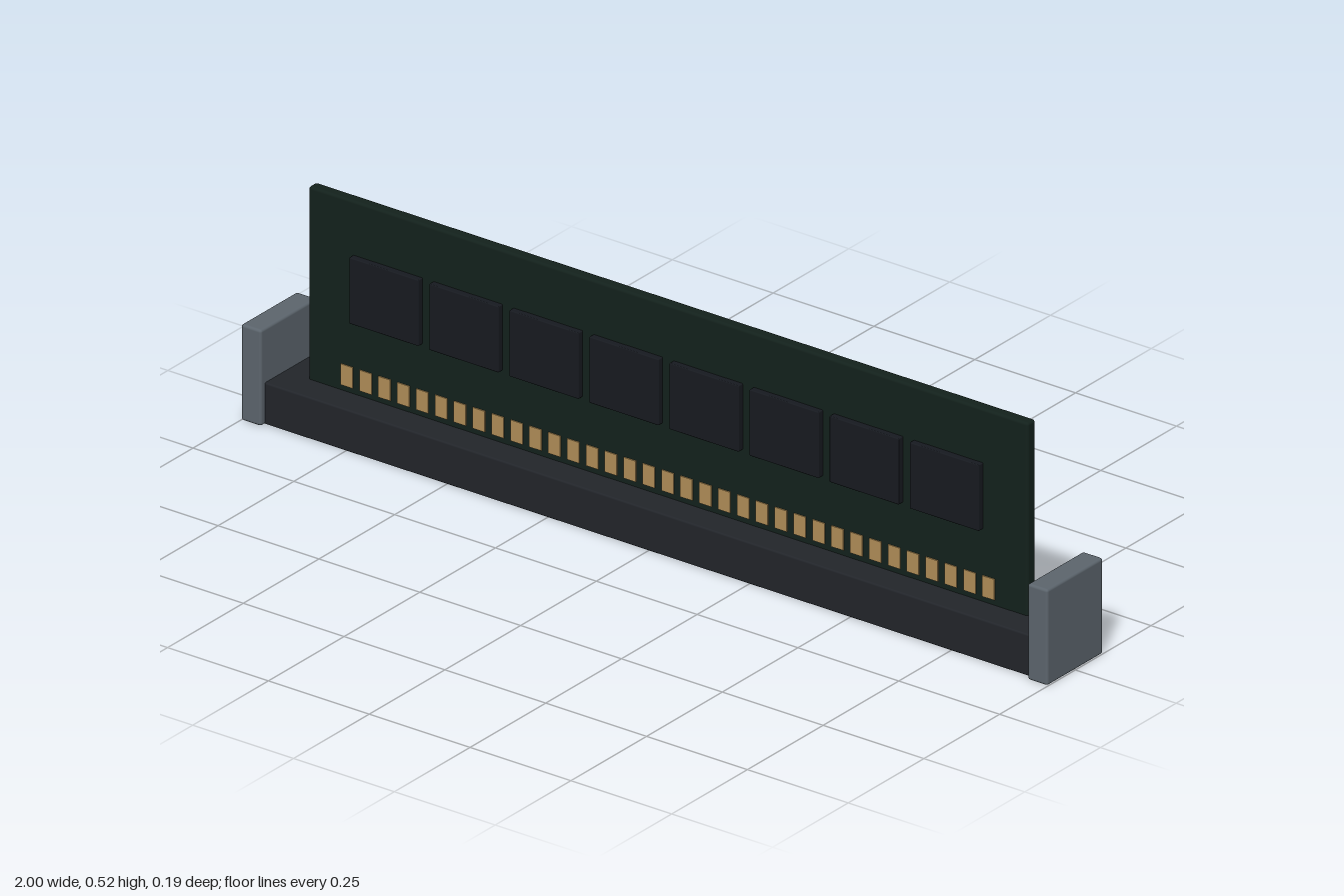
import * as THREE from 'three';
import { RoundedBoxGeometry } from 'three/addons/geometries/RoundedBoxGeometry.js';

const paint = (color) => new THREE.MeshStandardMaterial({ color });

export function createModel() {
  const model = new THREE.Group();
  const socketMat = paint(0x22252a);
  const latchMat = paint(0x5c656d);
  const boardMat = paint(0x13211c);
  const chipMat = paint(0x171a20);
  const goldMat = paint(0xb08d57);

  // Box with softened edges, placed by its centre
  const block = (name, mat, size, pos, radius) => {
    const mesh = new THREE.Mesh(new RoundedBoxGeometry(...size, 2, radius), mat);
    mesh.name = name;
    mesh.position.set(...pos);
    model.add(mesh);
  };

  // Long socket with a latch at each end
  block('socket', socketMat, [1.92, 0.092, 0.158], [0, 0.046, 0], 0.004);
  for (const side of [1, -1]) {
    block(side > 0 ? 'leftLatch' : 'rightLatch', latchMat,
      [0.05, 0.212, 0.185], [side * 0.975, 0.106, 0], 0.006);
  }

  // Circuit board standing in the socket
  block('circuitBoard', boardMat, [1.784, 0.457, 0.026], [0, 0.2885, 0], 0.006);

  // Row of eight memory chips on the front
  for (let i = 0; i < 8; i++) {
    block('memoryChip', chipMat, [0.172, 0.146, 0.02], [(i - 3.5) * 0.1985, 0.325, 0.017], 0.002);
  }

  // Row of gold contacts above the socket
  const contactGeo = new THREE.BoxGeometry(0.03, 0.046, 0.006);
  for (let i = 0; i < 35; i++) {
    const contact = new THREE.Mesh(contactGeo, goldMat);
    contact.name = 'goldContact';
    contact.position.set((i - 17) * 0.0468, 0.127, 0.0125);
    model.add(contact);
  }
  return model;
}
